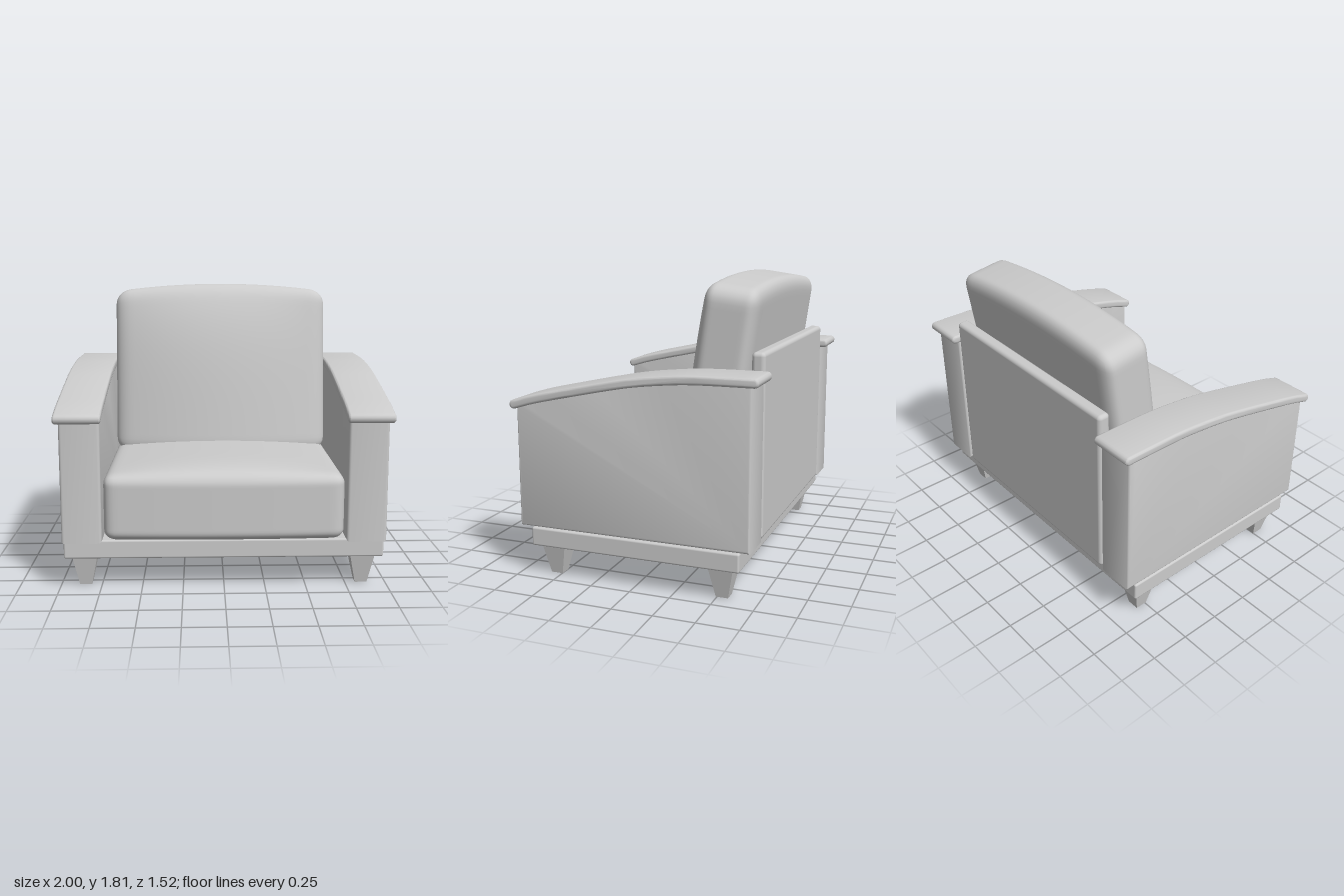
import * as THREE from 'three';
import { mergeVertices, toCreasedNormals } from 'three/addons/utils/BufferGeometryUtils.js';
import { RoundedBoxGeometry } from 'three/addons/geometries/RoundedBoxGeometry.js';

const material = new THREE.MeshStandardMaterial({ color: 0xcccccc });

function addMesh(parent, name, geometry, x = 0, y = 0, z = 0) {
  const mesh = new THREE.Mesh(geometry, material);
  mesh.name = name;
  mesh.position.set(x, y, z);
  parent.add(mesh);
  return mesh;
}

// Soft box: rounded with one radius per axis, then reshaped by warp(p, u, v, w).
// u, v, w run from -1 to 1 across the width, height and depth.
function cushionGeometry(size, radius, warp) {
  const box = new THREE.BoxGeometry(2, 2, 2, 36, 32, 24);
  box.deleteAttribute('uv');
  box.deleteAttribute('normal');
  const geometry = mergeVertices(box);
  const pos = geometry.attributes.position;
  const p = new THREE.Vector3();
  const inner = new THREE.Vector3();
  const half = size.clone().multiplyScalar(0.5);
  const limit = half.clone().sub(radius);
  for (let i = 0; i < pos.count; i++) {
    p.fromBufferAttribute(pos, i);
    // crowd the grid toward the edges, where the rounding is
    p.set(...p.toArray().map((t) => Math.sin((t * Math.PI) / 2))).multiply(half);
    inner.copy(p).clamp(limit.clone().negate(), limit);
    p.sub(inner).divide(radius).normalize().multiply(radius).add(inner);
    warp(p, p.x / half.x, p.y / half.y, p.z / half.z);
    pos.setXYZ(i, p.x, p.y, p.z);
  }
  geometry.computeVertexNormals();
  return geometry;
}

// Extrudes a (z, y) outline sideways, centred on x = 0, to the full given width
function sideExtrude(points, width, bevel) {
  const geometry = new THREE.ExtrudeGeometry(new THREE.Shape(points), {
    depth: width - 2 * bevel, bevelSize: bevel, bevelThickness: bevel, bevelSegments: 4,
  });
  geometry.translate(0, 0, bevel - width / 2);
  geometry.rotateY(-Math.PI / 2);
  return toCreasedNormals(geometry, 0.6);
}

// Centre line of the armrest, from back to front, as (z, y)
const armCurve = new THREE.SplineCurve([
  [-0.733, 1.274], [-0.4, 1.271], [-0.2, 1.256], [0, 1.23],
  [0.2, 1.19], [0.4, 1.14], [0.6, 1.088], [0.735, 1.064],
].map(([z, y]) => new THREE.Vector2(z, y)));
armCurve.points[5].y = 1.146;
armCurve.points[6].y = 1.1;
armCurve.points[7].y = 1.06;

function armrestGeometry() {
  const bevel = 0.016, r = 0.011, n = 28, points = [];
  const offset = (t, turn) => {
    const c = armCurve.getPoint(t), a = armCurve.getTangent(t).angle() + turn;
    points.push(new THREE.Vector2(c.x + r * Math.cos(a), c.y + r * Math.sin(a)));
  };
  for (let i = 0; i <= n; i++) offset(i / n, -Math.PI / 2);
  for (let i = 1; i < 6; i++) offset(1, -Math.PI / 2 + (i * Math.PI) / 6);
  for (let i = n; i >= 0; i--) offset(i / n, Math.PI / 2);
  for (let i = 1; i < 6; i++) offset(0, Math.PI / 2 + (i * Math.PI) / 6);
  return sideExtrude(points, 0.28, bevel);
}

function armPanelGeometry() {
  const bevel = 0.018;
  const back = -0.717 + bevel, front = 0.73 - bevel, bottom = 0.31 + bevel;
  const top = armCurve.getPoints(28).filter((p) => p.x > back && p.x < front).reverse();
  const points = [
    new THREE.Vector2(back, bottom), new THREE.Vector2(front, bottom),
    new THREE.Vector2(front, 1.068), ...top, new THREE.Vector2(back, 1.274),
  ].map((p) => new THREE.Vector2(p.x, p.y > 1 ? p.y - bevel : p.y));
  return sideExtrude(points, 0.24, bevel);
}

export function createModel() {
  const chair = new THREE.Group();
  chair.name = 'armchair';

  // Plinth and back panel
  addMesh(chair, 'base', new RoundedBoxGeometry(1.94, 0.115, 1.31, 3, 0.012), 0, 0.2485, 0);
  addMesh(chair, 'backPanel', new RoundedBoxGeometry(1.44, 1.09, 0.08, 4, 0.025), 0, 0.855, -0.675);

  // Tapered square legs
  const leg = new THREE.CylinderGeometry(0.077 * Math.SQRT2, 0.037 * Math.SQRT2, 0.195, 4);
  leg.rotateY(Math.PI / 4);
  const legGeometry = toCreasedNormals(leg, 0.3);

  // Arms and legs, mirrored
  const panel = armPanelGeometry();
  const rest = armrestGeometry();
  for (const [side, s] of [['left', 1], ['right', -1]]) {
    const arm = new THREE.Group();
    arm.name = side + 'Arm';
    addMesh(arm, side + 'ArmPanel', panel, s * 0.85);
    addMesh(arm, side + 'Armrest', rest, s * 0.86);
    chair.add(arm);
    addMesh(chair, side + 'FrontLeg', legGeometry, s * 0.85, 0.0975, 0.535);
    addMesh(chair, side + 'BackLeg', legGeometry, s * 0.85, 0.0975, -0.53);
  }

  // Seat cushion: crowned top, slightly bowed front
  const seat = cushionGeometry(
    new THREE.Vector3(1.45, 0.4, 1.33), new THREE.Vector3(0.07, 0.06, 0.07),
    (p, u, v, w) => {
      p.y += 0.055 * (1 - u * u) * (1 - w ** 6) * Math.max(0, v);
      p.z += 0.025 * (1 - u * u) * Math.max(0, w);
    });
  addMesh(chair, 'seatCushion', seat, 0, 0.51, 0.035);

  // Back cushion: leaning back, bulging forward, crowned on top
  const bottom = 0.67, height = 1.1, depth = 0.32;
  const back = cushionGeometry(
    new THREE.Vector3(1.435, height, depth), new THREE.Vector3(0.1, 0.09, 0.06),
    (p, u, v, w) => {
      const t = (v + 1) / 2, f = (w + 1) / 2;
      const bulge = 0.115 * (1 - u * u) * (1 - t ** 5) * f;
      p.z += -0.36 - 0.15 * t + bulge;
      p.y += bottom + height / 2 + t * (0.05 * (1 - u * u) - 0.045 * (1 - f));
    });
  addMesh(chair, 'backCushion', back);

  return chair;
}
